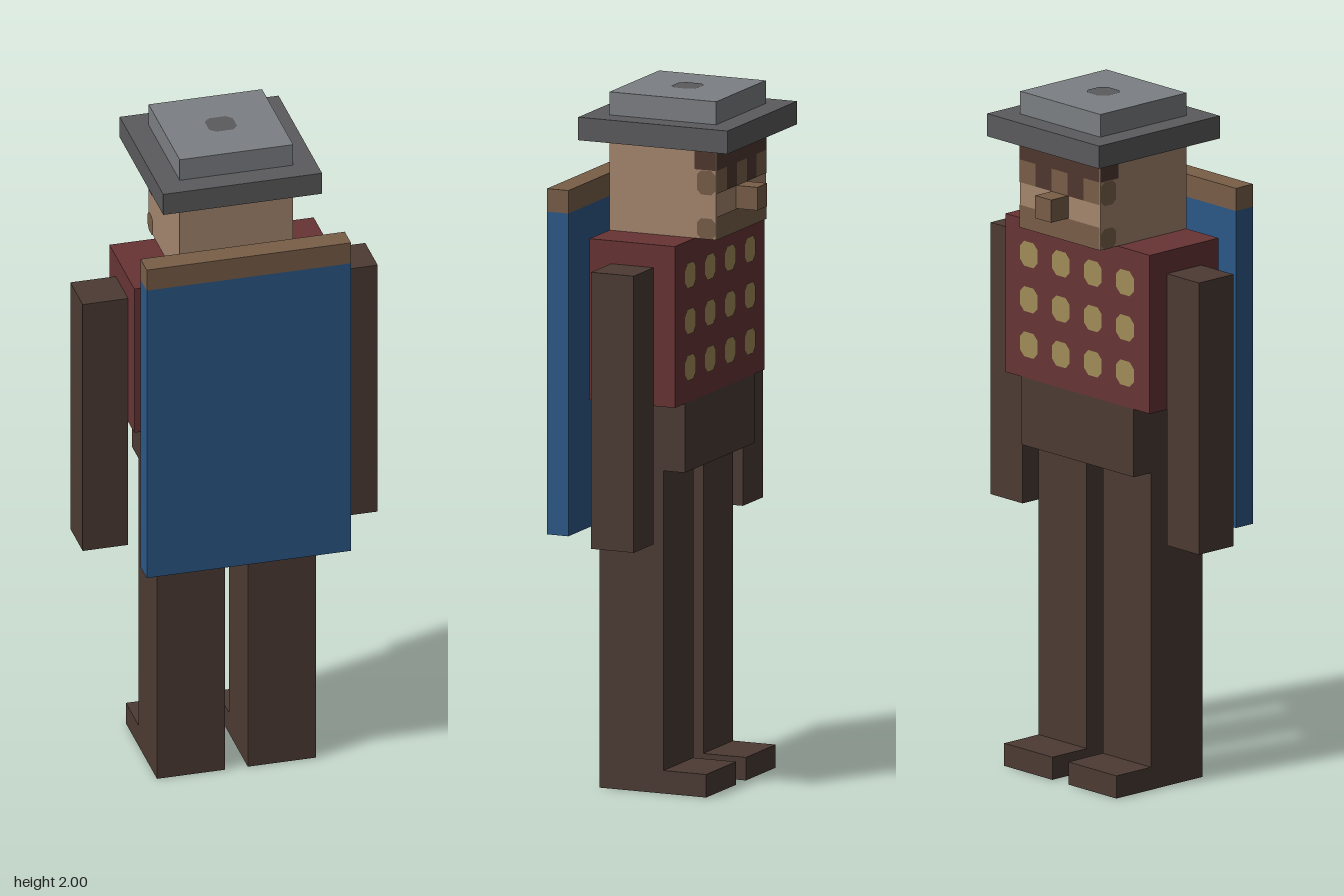
import * as THREE from 'three';

const U = 1 / 15; // one block unit; the figure is 30 units tall

function makeMaterial(name, color) {
  const m = new THREE.MeshStandardMaterial({ color });
  m.name = name;
  return m;
}

export function createModel() {
  const model = new THREE.Group();
  model.name = 'blockFigure';

  const trousers = makeMaterial('dark brown', 0x4c3b33);
  const red = makeMaterial('maroon', 0x683435);
  const blue = makeMaterial('blue', 0x2c5888);
  const leather = makeMaterial('leather brown', 0x785e48);
  const skin = makeMaterial('skin', 0xa4866e);
  const brimGrey = makeMaterial('dark grey', 0x5b5b5d);
  const crownGrey = makeMaterial('light grey', 0x7c7f83);
  const gold = makeMaterial('dull gold', 0xa08c58);
  const hair = makeMaterial('hair brown', 0x4e372f);

  // Box given by its limits in block units
  function box(name, material, [x0, x1], [y0, y1], [z0, z1]) {
    const mesh = new THREE.Mesh(
      new THREE.BoxGeometry((x1 - x0) * U, (y1 - y0) * U, (z1 - z0) * U), material);
    mesh.position.set((x0 + x1) / 2 * U, (y0 + y1) / 2 * U, (z0 + z1) / 2 * U);
    mesh.name = name;
    model.add(mesh);
  }

  // Flat patch with clipped corners, centred at (x, y) on a face group
  function patch(face, name, material, x, y, w, h, clip = 0) {
    const a = w / 2, b = h / 2, c = clip;
    const outline = c
      ? [[-a + c, -b], [a - c, -b], [a, -b + c], [a, b - c], [a - c, b], [-a + c, b], [-a, b - c], [-a, -b + c]]
      : [[-a, -b], [a, -b], [a, b], [-a, b]];
    const shape = new THREE.Shape(outline.map(([px, py]) => new THREE.Vector2(px * U, py * U)));
    const mesh = new THREE.Mesh(new THREE.ShapeGeometry(shape), material);
    mesh.position.set(x * U, y * U, 0);
    mesh.name = name;
    face.add(mesh);
  }

  // Group lying just above a surface, rotated to look outward
  function faceGroup(name, x, y, z, rx, ry) {
    const g = new THREE.Group();
    g.name = name;
    g.position.set(x * U, y * U, z * U);
    g.rotation.set(rx, ry, 0);
    model.add(g);
    return g;
  }

  // Limbs
  for (const [side, s] of [['left', 1], ['right', -1]]) {
    const span = (a, b) => (s > 0 ? [a, b] : [-b, -a]);
    box(side + 'Leg', trousers, span(0.5, 3.5), [0, 14], [-1, 2]);
    box(side + 'Foot', trousers, span(0.5, 3.5), [0, 1], [-3, -1]);
    box(side + 'Arm', trousers, span(4.5, 6.5), [11, 23], [-1, 1]);
  }

  // Body and cape
  box('hips', trousers, [-3.5, 3.5], [14, 17], [-2, 2]);
  box('torso', red, [-4.5, 4.5], [17, 24], [-2, 2]);
  box('cape', blue, [-4.5, 4.5], [11, 25], [3, 4]);
  box('capeCollar', leather, [-4.5, 4.5], [25, 26], [3, 4]);

  // Head and hat
  box('head', skin, [-2.5, 2.5], [24, 28], [-3, 2]);
  box('nose', leather, [-0.5, 0.5], [25, 26], [-4, -3]);
  box('hatBrim', brimGrey, [-3.5, 3.5], [28, 29], [-4, 3]);
  box('hatCrown', crownGrey, [-2.5, 2.5], [29, 30], [-3, 2]);

  // Gold spots on the chest
  const chest = faceGroup('chestSpots', 0, 17, -2.04, 0, Math.PI);
  for (const x of [-3, -1, 1, 3]) {
    for (const y of [1.5, 3.5, 5.5]) patch(chest, 'spot', gold, x, y, 1.1, 1.1, 0.26);
  }

  // Face: hair fringe, eyes, cheeks and beard
  const face = faceGroup('faceDetails', 0, 24, -3.04, 0, Math.PI);
  patch(face, 'fringe', hair, 0, 3.5, 5, 1);
  for (const x of [-2, 0, 2]) patch(face, 'brow', leather, x, 2.5, 1, 1);
  for (const x of [-1, 1]) patch(face, 'eye', hair, x, 2.5, 1, 1);
  patch(face, 'beard', leather, 0, 0.5, 5, 1);

  // Patches wrapping round the sides of the head
  for (const s of [1, -1]) {
    const temple = faceGroup('templeDetails', s * 2.54, 24, 0, 0, s * Math.PI / 2);
    patch(temple, 'sideHair', hair, s * 2.5, 3.5, 1, 1);
    patch(temple, 'sideBrow', leather, s * 2.56, 2.45, 0.88, 1.05, 0.2);
    patch(temple, 'sideBeard', leather, s * 2.56, 0.45, 0.88, 0.9, 0.2);
  }

  // Spot on top of the hat
  const top = faceGroup('hatTop', 0, 29.99, 0, -Math.PI / 2, 0);
  top.position.y = 30 * U + 0.002;
  patch(top, 'hatSpot', brimGrey, 0, 0.5, 1.24, 1.2, 0.25);

  return model;
}
